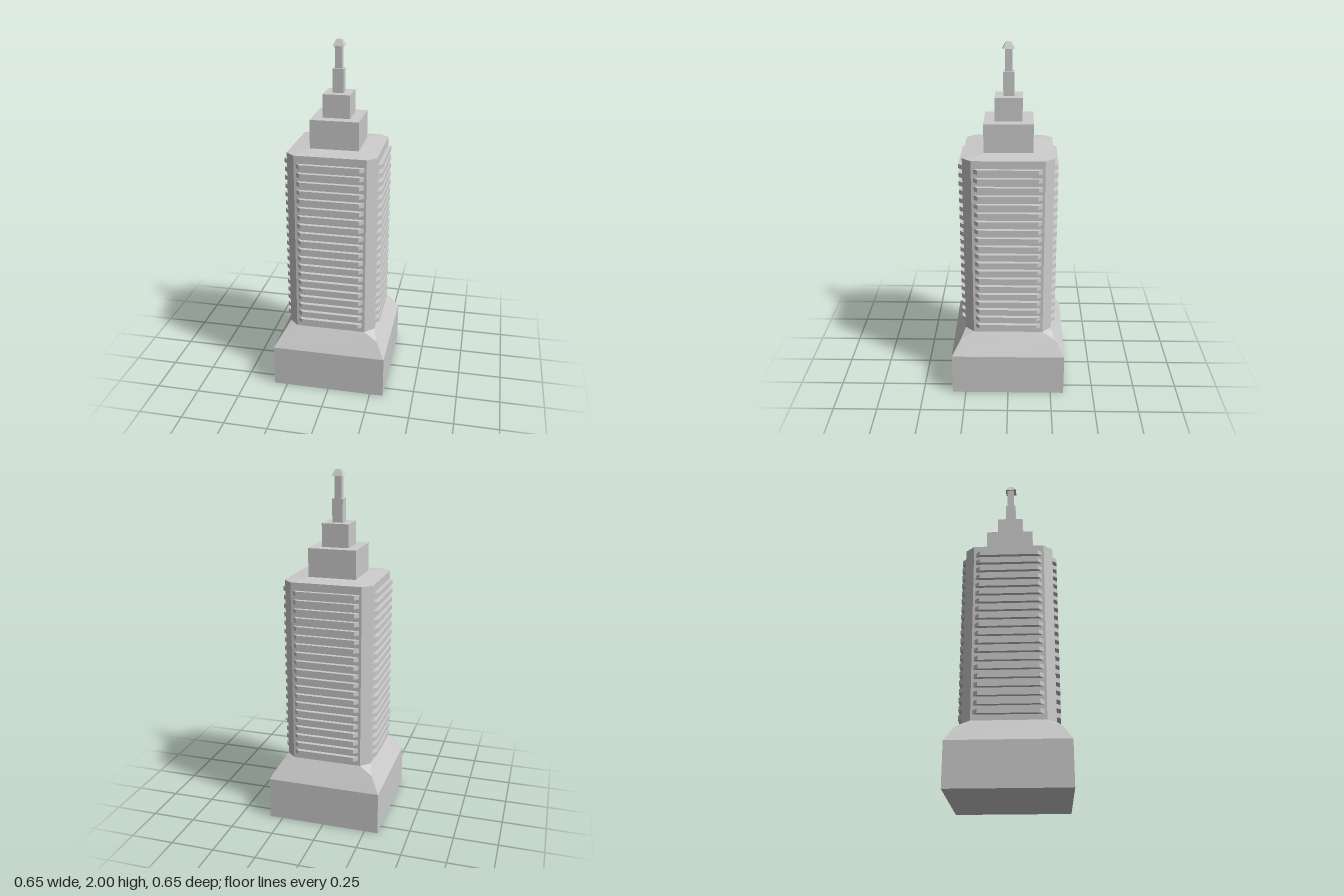
import * as THREE from 'three';

const material = new THREE.MeshStandardMaterial({ color: 0xcccccc, flatShading: true });

function addMesh(parent, name, geometry) {
  const mesh = new THREE.Mesh(geometry, material);
  mesh.name = name;
  parent.add(mesh);
  return mesh;
}

// Square block of half-width h standing between two heights
function block(h, y0, y1) {
  return new THREE.BoxGeometry(2 * h, y1 - y0, 2 * h).translate(0, (y0 + y1) / 2, 0);
}

// Plan outline, given as [x, -z] points, raised between two heights
function raise(points, y0, y1) {
  const shape = new THREE.Shape(points.map(([x, y]) => new THREE.Vector2(x, y)));
  return new THREE.ExtrudeGeometry(shape, { depth: y1 - y0, bevelEnabled: false })
    .rotateX(-Math.PI / 2).translate(0, y0, 0);
}

// Convex faces (counter-clockwise from outside) repeated round the four sides
function fourSided(faces) {
  const positions = [];
  const up = new THREE.Vector3(0, 1, 0);
  for (let side = 0; side < 4; side++) {
    for (const face of faces) {
      const v = face.map((p) => new THREE.Vector3(...p).applyAxisAngle(up, side * Math.PI / 2));
      for (let i = 1; i < v.length - 1; i++) {
        for (const p of [v[0], v[i], v[i + 1]]) positions.push(p.x, p.y, p.z);
      }
    }
  }
  const geometry = new THREE.BufferGeometry();
  geometry.setAttribute('position', new THREE.Float32BufferAttribute(positions, 3));
  geometry.computeVertexNormals();
  return geometry;
}

export function createModel() {
  const model = new THREE.Group();
  model.name = 'tower';
  const W = 0.25, C = 0.2;            // shaft half-width and start of its cut corners
  const B = 0.327, baseTop = 0.245;   // base
  const K = 0.276, kneeY = 0.33;      // where the skirt's corner ridge splits
  const shaftBottom = 0.37, shaftTop = 1.415;

  // Base and sloped skirt
  addMesh(model, 'base', block(B, 0, baseTop));
  addMesh(model, 'baseSkirt', fourSided([
    [[-B, baseTop, B], [B, baseTop, B], [K, kneeY, K],
      [C, shaftBottom, W], [-C, shaftBottom, W], [-K, kneeY, K]],
    [[K, kneeY, K], [W, shaftBottom, C], [C, shaftBottom, W]],
  ]));

  // Main shaft with cut corners
  addMesh(model, 'shaft', raise([
    [C, W], [-C, W], [-W, C], [-W, -C], [-C, -W], [C, -W], [W, -C], [W, C],
  ], shaftBottom, shaftTop));

  // Slightly pitched roof
  const T = 0.136, roofY = 1.425;
  addMesh(model, 'roof', fourSided([
    [[-C, shaftTop, W], [C, shaftTop, W], [T, roofY, T], [-T, roofY, T]],
    [[C, shaftTop, W], [W, shaftTop, C], [T, roofY, T]],
  ]));

  // Balcony bands with angled ends on every side
  const band = raise([[-0.19, -0.245], [-0.187, -W], [-0.165, -0.273],
    [0.165, -0.273], [0.187, -W], [0.19, -0.245]], -0.0125, 0.0125);
  const balconies = new THREE.Group();
  balconies.name = 'balconies';
  model.add(balconies);
  for (let side = 0; side < 4; side++) {
    for (let floor = 0; floor < 20; floor++) {
      const mesh = addMesh(balconies, 'balcony', band);
      mesh.position.y = 0.414 + floor * 0.0497;
      mesh.rotation.y = side * Math.PI / 2;
    }
  }

  // Stepped crown and spire
  addMesh(model, 'lowerTier', block(T, 1.41, 1.585));
  addMesh(model, 'upperTier', block(0.076, 1.585, 1.715));
  addMesh(model, 'lowerSpire', block(0.03, 1.715, 1.845));
  addMesh(model, 'upperSpire', block(0.02, 1.845, 1.967));

  // Spire cap: a cut-off pyramid
  addMesh(model, 'spireCap', new THREE.CylinderGeometry(0.014 * Math.SQRT2, 0.032 * Math.SQRT2, 0.034, 4)
    .rotateY(Math.PI / 4).translate(0.002, 1.983, 0.002));

  return model;
}
